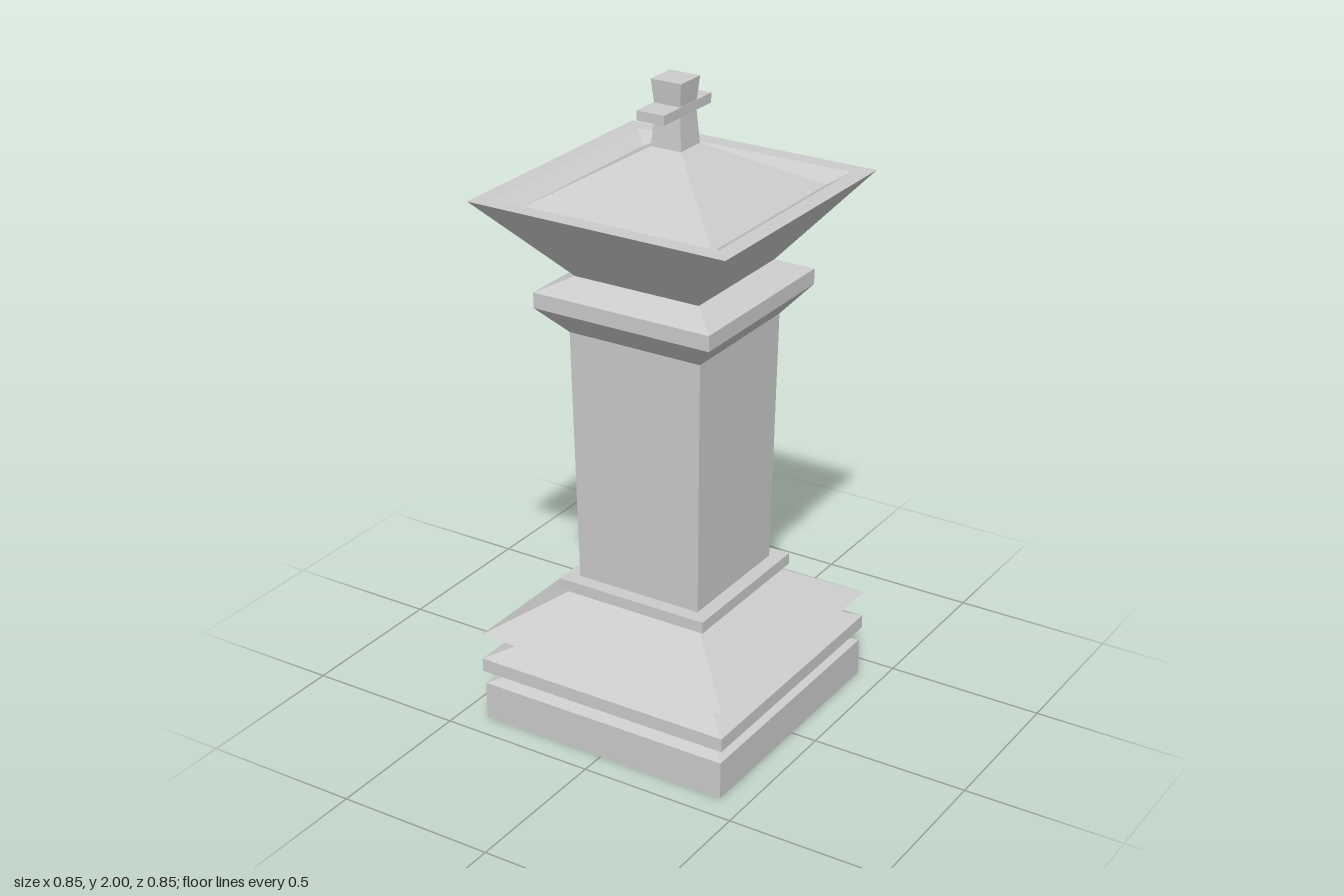
import * as THREE from 'three';

const material = new THREE.MeshStandardMaterial({ color: 0xcccccc, flatShading: true });

// Square turned section: profile of [half width, height] from bottom to top
function squareSection(name, profile) {
  const points = profile.map(([half, y]) => new THREE.Vector2(half * Math.SQRT2, y));
  const geometry = new THREE.LatheGeometry(points, 4, Math.PI / 4).toNonIndexed();
  geometry.computeVertexNormals();
  const mesh = new THREE.Mesh(geometry, material);
  mesh.name = name;
  return mesh;
}

export function createModel() {
  const model = new THREE.Group();
  model.name = 'chessKing';

  model.add(
    // Stacked foot: plinth, ring and sloping skirt, each meeting the next at a narrow neck
    squareSection('plinth', [[0, 0], [0.418, 0], [0.418, 0.12], [0.34, 0.148]]),
    squareSection('baseRing', [[0.34, 0.148], [0.424, 0.164], [0.424, 0.207], [0.33, 0.246]]),
    squareSection('skirt', [[0.33, 0.246], [0.425, 0.29], [0.215, 0.418]]),
    squareSection('lowerCollar', [[0.215, 0.418], [0.253, 0.42], [0.253, 0.456], [0.208, 0.456]]),

    // Shaft widens slightly upwards
    squareSection('shaft', [[0.208, 0.456], [0.221, 1.258]]),
    squareSection('upperCollar', [[0.221, 1.258], [0.294, 1.342], [0.294, 1.39], [0.208, 1.43]]),

    // Flared crown with a sunken rim around the pyramid roof
    squareSection('crown', [[0.208, 1.43], [0.421, 1.68], [0.367, 1.68], [0.315, 1.648]]),
    squareSection('roof', [[0.315, 1.648], [0.05, 1.803]]),

    // Waisted upright of the cross
    squareSection('crossUpright', [[0.05, 1.803], [0.043, 1.9], [0.043, 1.93], [0.05, 2], [0, 2]]),
  );

  // Cross arms run front to back
  const arms = new THREE.Mesh(new THREE.BoxGeometry(0.09, 0.029, 0.248), material);
  arms.name = 'crossArms';
  arms.position.set(0, 1.916, 0.006);
  model.add(arms);

  return model;
}
